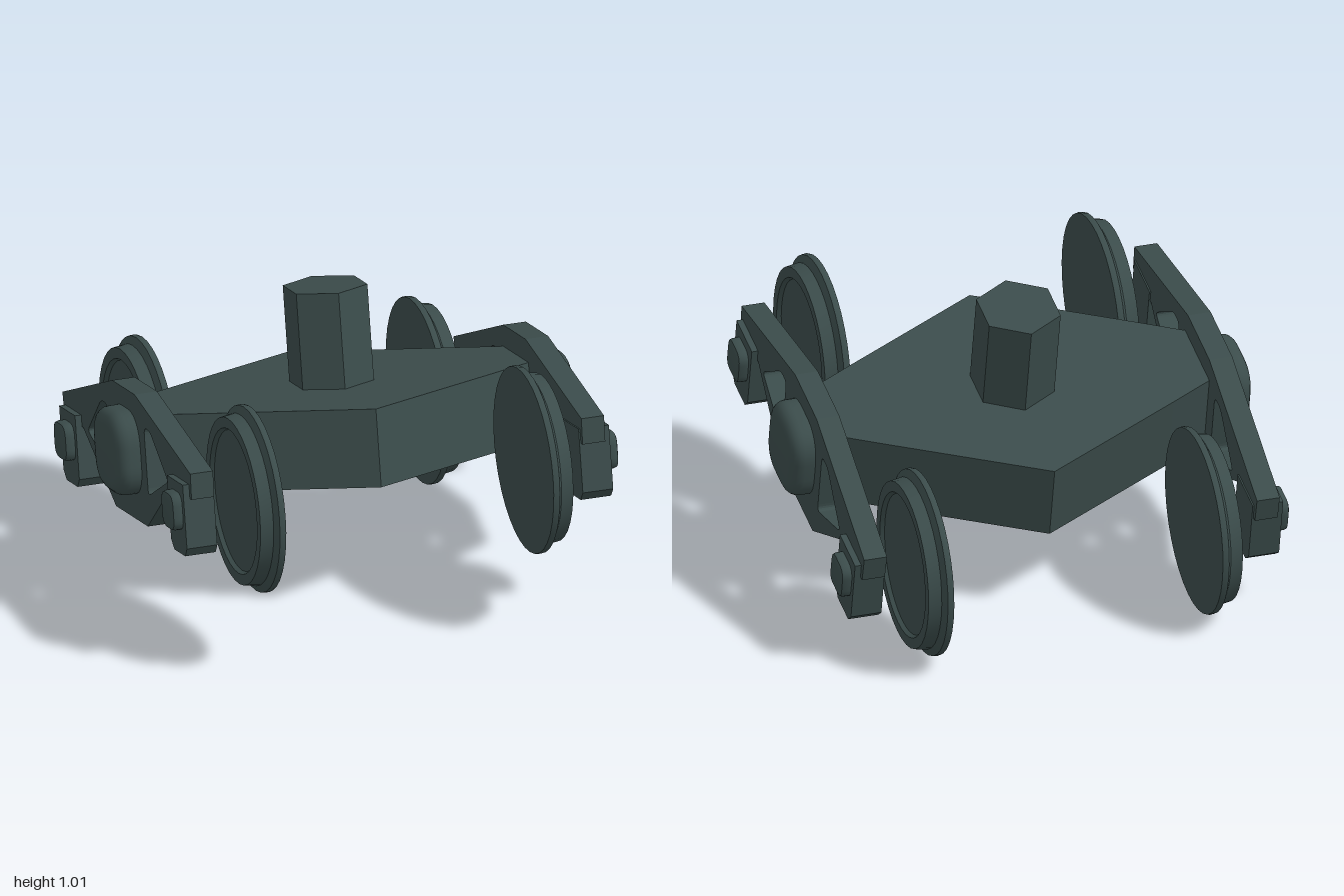
import * as THREE from 'three';
import { toCreasedNormals } from 'three/addons/utils/BufferGeometryUtils.js';

const darkIron = new THREE.MeshStandardMaterial({ color: 0x3b4c4b });

const add = (parent, name, geometry) => {
  const mesh = new THREE.Mesh(geometry, darkIron);
  mesh.name = name;
  parent.add(mesh);
  return mesh;
};

const polygon = (points, Type = THREE.Shape) =>
  new Type(points.map(([a, b]) => new THREE.Vector2(a, b)));

// Polygon with rounded corners; r is the distance cut from each corner
const roundedPolygon = (points, r, Type = THREE.Shape) => {
  const v = points.map(([a, b]) => new THREE.Vector2(a, b));
  const path = new Type();
  v.forEach((p, i) => {
    const prev = v[(i + v.length - 1) % v.length], next = v[(i + 1) % v.length];
    const a = p.clone().add(prev.clone().sub(p).setLength(r));
    const b = p.clone().add(next.clone().sub(p).setLength(r));
    if (i === 0) path.moveTo(a.x, a.y); else path.lineTo(a.x, a.y);
    path.quadraticCurveTo(p.x, p.y, b.x, b.y);
  });
  path.closePath();
  return path;
};

const roundedSquare = (h, r) => roundedPolygon([[-h, -h], [h, -h], [h, h], [-h, h]], r);

// Extrude a side-on outline sideways, from x0 to x1
const extrudeX = (shape, x0, x1, options = {}) => {
  const g = new THREE.ExtrudeGeometry(shape, { depth: x1 - x0, bevelEnabled: false, curveSegments: 5, ...options });
  return g.rotateY(Math.PI / 2).translate(x0, 0, 0);
};

// Wheel: flat back, flange on the inside, tread and shallow dished outer face
const wheelGeometry = () => {
  const profile = [[0, 0], [0.317, 0], [0.319, 0.008], [0.317, 0.022], [0.292, 0.036],
    [0.285, 0.08], [0.248, 0.08], [0.24, 0.066], [0, 0.066]];
  const g = new THREE.LatheGeometry(profile.map(([r, y]) => new THREE.Vector2(r, y)), 36);
  return toCreasedNormals(g.rotateZ(-Math.PI / 2), 0.5);
};

// One side of the truck: frame, boss, axle boxes and two wheels
const makeSide = () => {
  const side = new THREE.Group();

  const half = [[0.17, -0.147], [0.48, 0.06], [0.68, 0.05], [0.685, 0.14], [0.12, 0.297]];
  const mirrored = half.map(([a, b]) => [-a, b]).reverse();
  const frame = polygon([...half, ...mirrored]);
  const hole = [[0.2, -0.035], [0.43, 0.06], [0.26, 0.2], [0.2, 0.2]];
  for (const s of [1, -1]) {
    frame.holes.push(roundedPolygon(hole.map(([a, b]) => [a * s, b]), 0.025, THREE.Path));
  }
  add(side, 'sideFrame', extrudeX(frame, 0.65, 0.73));

  // Domed boss in the middle of the frame
  const boss = extrudeX(roundedSquare(0.1, 0.07), 0.72, 0.765,
    { bevelEnabled: true, bevelThickness: 0.045, bevelSize: 0.045, bevelSegments: 5, curveSegments: 8 });
  boss.translate(0, 0.085, 0);
  add(side, 'frameBoss', toCreasedNormals(boss, 0.7));

  for (const s of [1, -1]) {
    const z = 0.577 * s;
    const box = polygon([[-0.055, -0.15], [0.06, -0.15], [0.085, -0.12], [0.085, 0.1], [-0.085, 0.1], [-0.085, -0.12]]);
    add(side, 'axleBox', extrudeX(box, 0.645, 0.752)).position.z = z;

    const cap = extrudeX(roundedSquare(0.052, 0.03), 0.75, 0.775,
      { bevelEnabled: true, bevelThickness: 0.012, bevelSize: 0.012, bevelSegments: 2 });
    add(side, 'axleCap', toCreasedNormals(cap, 0.6)).position.z = z;

    add(side, 'wheel', wheelGeometry()).position.set(0.472, 0, z);
  }
  return side;
};

export function createModel() {
  const model = new THREE.Group();
  model.name = 'wheelTruck';

  // The whole truck is turned and pitched
  const truck = new THREE.Group();
  truck.name = 'truck';
  truck.rotation.set(-0.21, -0.4, 0, 'YXZ');
  truck.position.y = 0.437;
  model.add(truck);

  // Bolster: wide in the middle, tapering out to both side frames
  const quarter = [[0.66, 0.13], [0.5, 0.215]];
  const plan = [...quarter, [0, 0.475], [-0.5, 0.215], [-0.66, 0.13]];
  const outline = polygon([...plan, ...plan.map(([a, b]) => [-a, -b])]);
  const bolster = new THREE.ExtrudeGeometry(outline, { depth: 0.27, bevelEnabled: false });
  bolster.rotateX(-Math.PI / 2).translate(0, -0.05, 0);
  add(truck, 'bolster', bolster);

  // Six-sided centre pin
  const pin = new THREE.CylinderGeometry(0.145, 0.145, 0.35, 6);
  add(truck, 'centrePin', toCreasedNormals(pin, 0.3)).position.y = 0.375;

  // Two matching sides, half a turn apart
  for (const [name, turn] of [['leftSide', 0], ['rightSide', Math.PI]]) {
    const side = makeSide();
    side.name = name;
    side.rotation.y = turn;
    truck.add(side);
  }
  return model;
}
